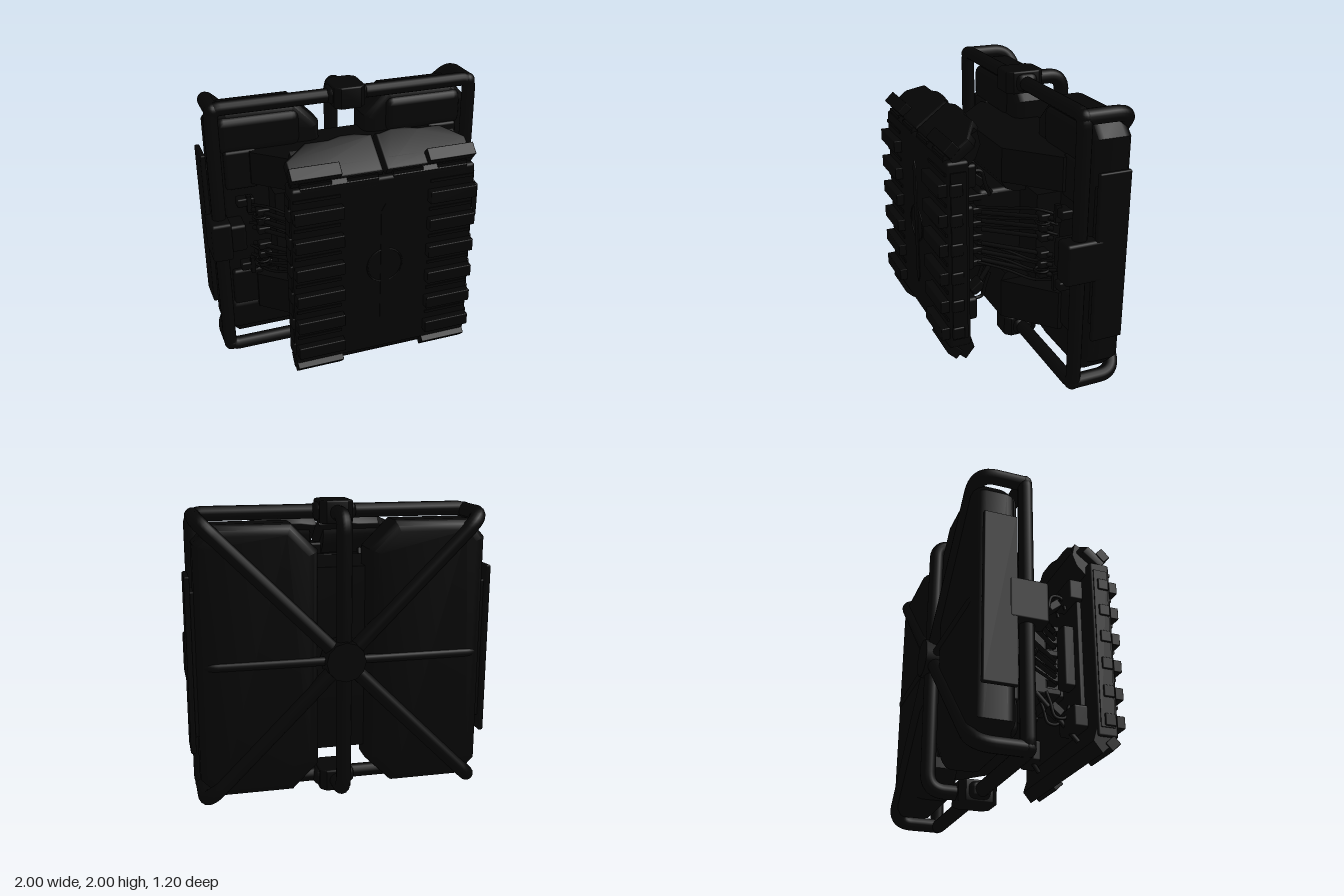
import * as THREE from 'three';
import { RoundedBoxGeometry } from 'three/addons/geometries/RoundedBoxGeometry.js';
import { toCreasedNormals } from 'three/addons/utils/BufferGeometryUtils.js';

const V = (x, y, z) => new THREE.Vector3(x, y, z);

export function createModel() {
  const root = new THREE.Group();
  root.name = 'backpackUnit';
  const black = new THREE.MeshStandardMaterial({ color: 0x050505 });
  black.name = 'matte black';

  const add = (name, geo, x = 0, y = 0, z = 0) => {
    const m = new THREE.Mesh(geo, black);
    m.name = name;
    m.position.set(x, y, z);
    root.add(m);
    return m;
  };
  const box = (name, w, h, d, x, y, z, r = 0) =>
    add(name, r ? new RoundedBoxGeometry(w, h, d, 2, r) : new THREE.BoxGeometry(w, h, d), x, y, z);
  const shapeOf = pts => new THREE.Shape(pts.map(p => new THREE.Vector2(p[0], p[1])));
  const extrude = (pts, depth, bevel = 0) => toCreasedNormals(new THREE.ExtrudeGeometry(shapeOf(pts), {
    depth: depth - 2 * bevel, bevelEnabled: bevel > 0, bevelSize: bevel, bevelThickness: bevel,
    bevelOffset: -bevel, bevelSegments: 3,
  }).translate(0, 0, bevel - depth / 2), 0.6);
  // Side profile (z, y) spread across x, and plan profile (x, z) spread along y
  const alongX = (pts, w) => extrude(pts, w).rotateY(-Math.PI / 2);
  const alongY = (pts, h, b) => extrude(pts, h, b).rotateX(Math.PI / 2);

  // Tube along a polyline with rounded corners
  const pipe = (name, pts, r, fillet = 0.1, sides = 14, segs = 70) => {
    const path = new THREE.CurvePath();
    let from = pts[0];
    for (let i = 1; i < pts.length - 1; i++) {
      const toward = p => pts[i].clone().add(p.clone().sub(pts[i]).setLength(fillet));
      const a = toward(pts[i - 1]), b = toward(pts[i + 1]);
      path.add(new THREE.LineCurve3(from, a));
      path.add(new THREE.QuadraticBezierCurve3(a, pts[i], b));
      from = b;
    }
    path.add(new THREE.LineCurve3(from, pts[pts.length - 1]));
    return add(name, new THREE.TubeGeometry(path, segs, r, sides, false));
  };
  const smoothPipe = (name, pts, r) =>
    add(name, new THREE.TubeGeometry(new THREE.CatmullRomCurve3(pts), 24, r, 8, false));

  // Square tube frame
  const e = 0.922;
  pipe('frameLoop', [V(0, 1 + e, -0.2), V(e, 1 + e, -0.2), V(e, 1 - e, -0.2), V(-e, 1 - e, -0.2),
    V(-e, 1 + e, -0.2), V(0, 1 + e, -0.2)], 0.048, 0.07, 14, 400);

  // Spokes bending round to the rear hub, with rounded frame corners
  for (const sx of [-1, 0, 1]) for (const sy of [-1, 0, 1]) {
    if (!sx && !sy) continue;
    const corner = sx && sy, inset = corner ? 0.91 : e;
    const x = sx * inset, y = 1 + sy * inset;
    pipe('rearSpoke', [V(x, y, -0.2), V(x, y, -0.525), V(0, 1, -0.53)],
      sy === 0 ? 0.03 : 0.05, corner ? 0.13 : 0.11);
    if (corner) add('cornerJoint', new THREE.SphereGeometry(0.052, 16, 12), x, y, -0.2);
  }
  add('rearHub', new THREE.CylinderGeometry(0.13, 0.145, 0.14, 12).rotateX(-Math.PI / 2), 0, 1, -0.53);

  // Clamps at the middle of each frame side
  for (const s of [-1, 1]) {
    add('frameClamp', alongY([[-0.11, -0.3], [-0.07, -0.34], [0.07, -0.34], [0.11, -0.3], [0.11, -0.12],
      [0.07, -0.08], [-0.07, -0.08], [-0.11, -0.12]], 0.15, 0.012), 0, 1 + s * 0.925, 0);
    box('clampCollar', 0.29, 0.12, 0.15, 0, 1 + s * 0.925, -0.21, 0.045);
    box('sideClamp', 0.14, 0.28, 0.26, s * 0.93, 1, -0.21, 0.02);
    box('sideClampBlock', 0.13, 0.2, 0.18, s * 0.82, 1, -0.2, 0.02);
    box('sidePlate', 0.035, 1.15, 0.22, s * 0.98, 1, -0.39, 0.01);
    box('sidePlateBacking', 0.08, 0.95, 0.18, s * 0.93, 1, -0.38, 0.01);
  }

  // Two chamfered pods inside the frame
  for (const s of [-1, 1]) {
    const outline = [[0.16, 0.29], [0.335, 0.115], [0.83, 0.115], [0.94, 0.23], [0.94, 1.77], [0.83, 1.885],
      [0.335, 1.885], [0.16, 1.71]].map(([x, y]) => [s * x, y]);
    add('rearPod', extrude(outline, 0.28, 0.07), 0, 0, -0.4);
    for (const t of [-1, 1]) {
      box('podCushion', 0.58, 0.26, 0.14, s * 0.6, 1 + t * 0.7, -0.3, 0.06);
      box('podRidge', 0.22, 0.28, 0.06, s * 0.74, 1 + t * 0.46, -0.25, 0.02);
    }
  }

  // Tapered mount blocks and core
  for (const [t, far] of [[1, 0.59], [-1, 0.635]]) {
    const profile = [[-0.43, far], [0.08, far], [0.08, 0.36], [0.05, 0.31], [-0.02, 0.28], [-0.43, 0.28]]
      .map(([z, d]) => [z, 1 + t * d]);
    add('mountBlock', alongX(profile, 0.74));
    add('mountWings', alongY([[-0.68, -0.3], [-0.68, -0.2], [-0.37, 0.08], [0.37, 0.08],
      [0.68, -0.2], [0.68, -0.3]], far - 0.36), 0, 1 + t * (far + 0.36) / 2, 0);
  }
  box('mountCore', 1.1, 0.62, 0.34, 0, 1, -0.26);
  box('connector', 0.58, 0.56, 0.34, 0, 1, 0.04, 0.03);
  box('connectorHead', 0.4, 0.48, 0.24, 0, 1, 0.25, 0.02);
  for (let i = 0; i < 6; i++)
    box('connectorRib', 0.58, 0.045, 0.24, 0, 0.76 + i * 0.096, 0.18, 0.01);

  // Struts, hoses and fittings linking the clamps to the front panel
  for (const s of [-1, 1]) {
    for (const t of [-1, 1]) {
      const y = d => 1 + t * d;
      for (const d of [0.06, 0.13, 0.2]) {
        pipe('strut', [V(s * 0.7, y(d), -0.14), V(s * 0.37, y(d * 0.85), 0.22)], 0.016, 0.1, 8, 2);
        smoothPipe('hose', [V(s * 0.72, y(d + 0.03), -0.16), V(s * 0.62, y(d + 0.05), -0.04),
          V(s * 0.48, y(d + 0.02), 0.09), V(s * 0.34, y(d), 0.24)], 0.01);
        box('strutFitting', 0.09, 0.05, 0.07, s * 0.64, y(d), -0.09, 0.01);
      }
      add('hoseLoop', new THREE.TorusGeometry(0.045, 0.009, 6, 20).rotateX(Math.PI / 2),
        s * 0.66, y(0.17), -0.08);
      box('bracket', 0.12, 0.06, 0.08, s * 0.74, y(0.25), -0.18, 0.01);
      box('bracketPin', 0.03, 0.12, 0.04, s * 0.72, y(0.24), -0.15);
      // Diagonal braces behind the panel
      pipe('panelBrace', [V(s * 0.28, y(0.26), 0.12), V(s * 0.34, y(0.6), 0.39)], 0.018, 0.1, 8, 2);
      for (const x of [0.24, 0.36])
        smoothPipe('braceHose', [V(s * x, y(0.28), 0.16), V(s * x, y(0.36), 0.19),
          V(s * x, y(0.45), 0.22), V(s * x, y(0.45), 0.29), V(s * x, y(0.36), 0.32)], 0.012);
      const joint = box('braceJoint', 0.1, 0.1, 0.06, s * 0.31, y(0.39), 0.24, 0.01);
      joint.rotation.x = t * 0.9;
      box('panelBracket', 0.24, 0.16, 0.12, s * 0.36, y(0.47), 0.355, 0.02);
    }
    box('linkArm', 0.12, 0.46, 0.1, s * 0.33, 1, 0.33, 0.02);
  }

  // Front panel
  box('frontPanel', 1.22, 1.28, 0.15, 0, 0.99, 0.47, 0.02);
  box('panelBack', 0.9, 1.1, 0.05, 0, 1, 0.385, 0.01);
  add('bottomLip', alongX([[0.54, 0.4], [0.5, 0.31], [0.43, 0.245], [0.37, 0.32], [0.4, 0.42]], 1.2));
  for (const s of [-1, 1]) {
    // Swept upper lip with a scalloped rear edge
    const lip = add('topLip', extrude([[0.01, 0], [0.6, 0], [0.6, 0.16], [0.45, 0.27], [0.3, 0.27],
      [0.22, 0.29], [0.12, 0.29], [0.04, 0.27], [0.01, 0.27]].map(([x, y]) => [s * x, y]), 0.08, 0.015),
    0, 1.635, 0.505);
    lip.rotation.x = -0.92;
    add('lipFiller', alongX([[0.545, 1.58], [0.545, 1.63], [0.46, 1.72], [0.32, 1.79], [0.3, 1.7],
      [0.33, 1.62], [0.4, 1.55]], 0.5), s * 0.3, 0, 0);
    // Edge lugs
    for (let i = 0; i < 6; i++) {
      const y = 0.465 + i * 0.198;
      box('frontLug', 0.32, 0.085, 0.06, s * 0.447, y, 0.568, 0.006);
      box('edgeCap', 0.05, 0.085, 0.08, s * 0.605, y, 0.485, 0.01);
      box('panelRib', 0.3, 0.02, 0.016, s * 0.45, y + 0.099, 0.545);
    }
    for (const y of [0.315, 1.705]) {
      const lug = box('cornerLug', 0.32, 0.085, 0.07, s * 0.447, y, 0.505, 0.006);
      lug.rotation.x = y > 1 ? -0.8 : 0.8;
    }
    box('edgeRail', 0.03, 1.15, 0.1, s * 0.605, 0.99, 0.47);
  }
  for (const x of [-0.45, -0.15, 0.15, 0.45]) box('topSeam', 0.2, 0.025, 0.02, x, 1.645, 0.53);

  // Central ring and pointed spine on the panel face
  add('panelRing', new THREE.TorusGeometry(0.12, 0.006, 6, 40), 0, 1, 0.545);
  add('panelSpine', extrude([[-0.03, 0.6], [0, 0.55], [0.03, 0.6], [0.03, 1.4], [0, 1.45], [-0.03, 1.4]],
    0.008), 0, 0, 0.547);

  return root;
}
